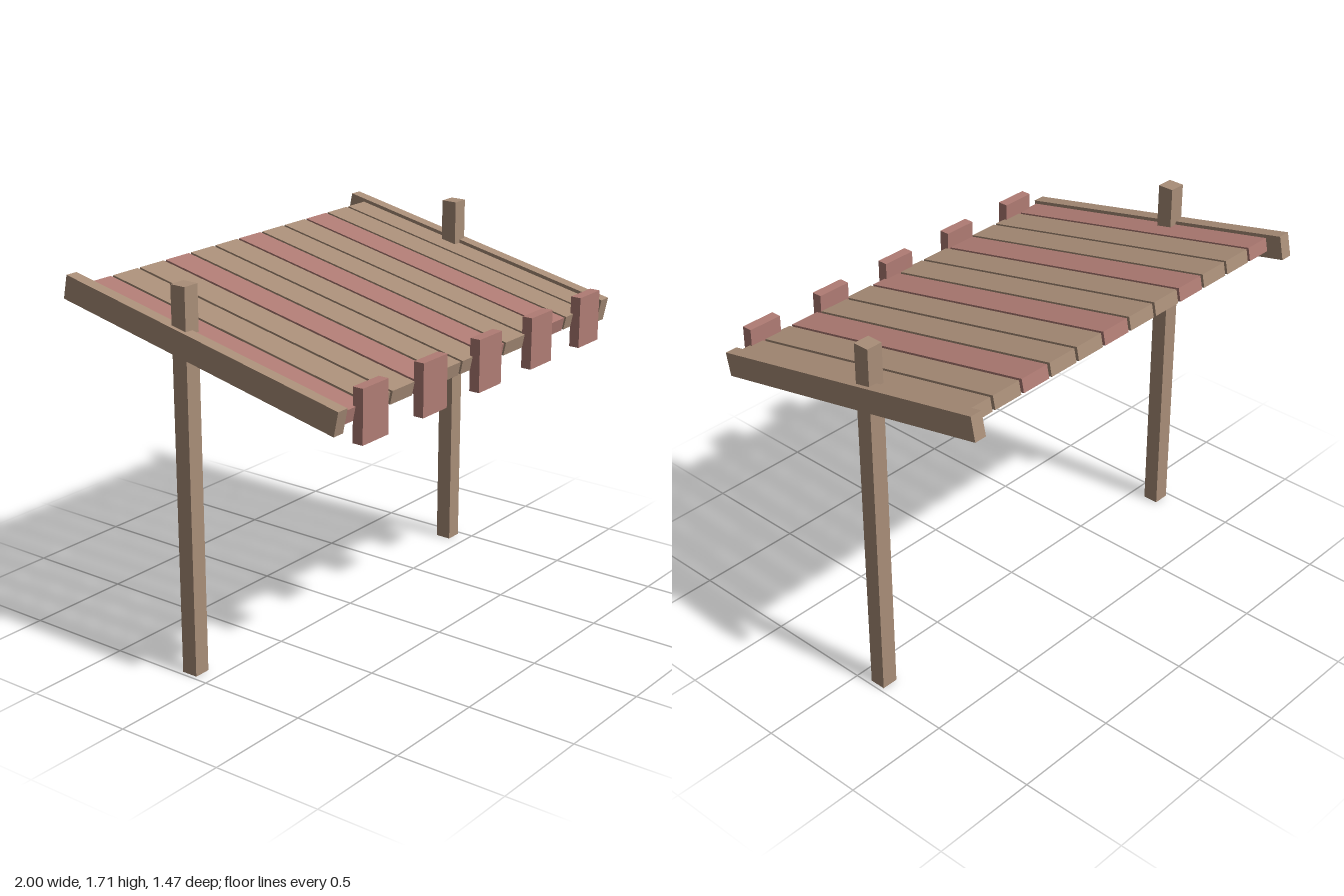
import * as THREE from 'three';

export function createModel() {
  const model = new THREE.Group();
  model.name = 'slattedCanopy';
  const wood = new THREE.MeshStandardMaterial({ color: 0xa98e78 });
  const redWood = new THREE.MeshStandardMaterial({ color: 0xb07c74 });
  const slope = 0.208;

  function beam(name, material, size, position, tilt = 0) {
    const mesh = new THREE.Mesh(new THREE.BoxGeometry(...size), material);
    mesh.name = name;
    mesh.position.set(...position);
    mesh.rotation.x = tilt;
    model.add(mesh);
  }

  // Upright posts and sloping side rails
  for (const [side, s] of [['left', 1], ['right', -1]]) {
    beam(side + 'Post', wood, [0.077, 1.71, 0.075], [s * 0.942, 0.855, -0.108], 0);
    beam(side + 'Rail', wood, [0.058, 0.108, 1.454], [s * 0.971, 1.457, -0.011], slope);
  }

  // Roof planks, every third one red
  for (let i = 0; i < 12; i++) {
    beam('roofPlank' + (i + 1), i % 3 === 0 ? redWood : wood,
      [0.147, 0.061, 1.368], [(i - 5.5) * 0.1618, 1.4575, 0.025], slope);
  }

  // Short upright boards along the front edge
  for (let i = 0; i < 5; i++) {
    beam('frontBoard' + (i + 1), redWood, [0.165, 0.23, 0.048], [(i - 2) * 0.398, 1.31, 0.711]);
  }
  return model;
}
